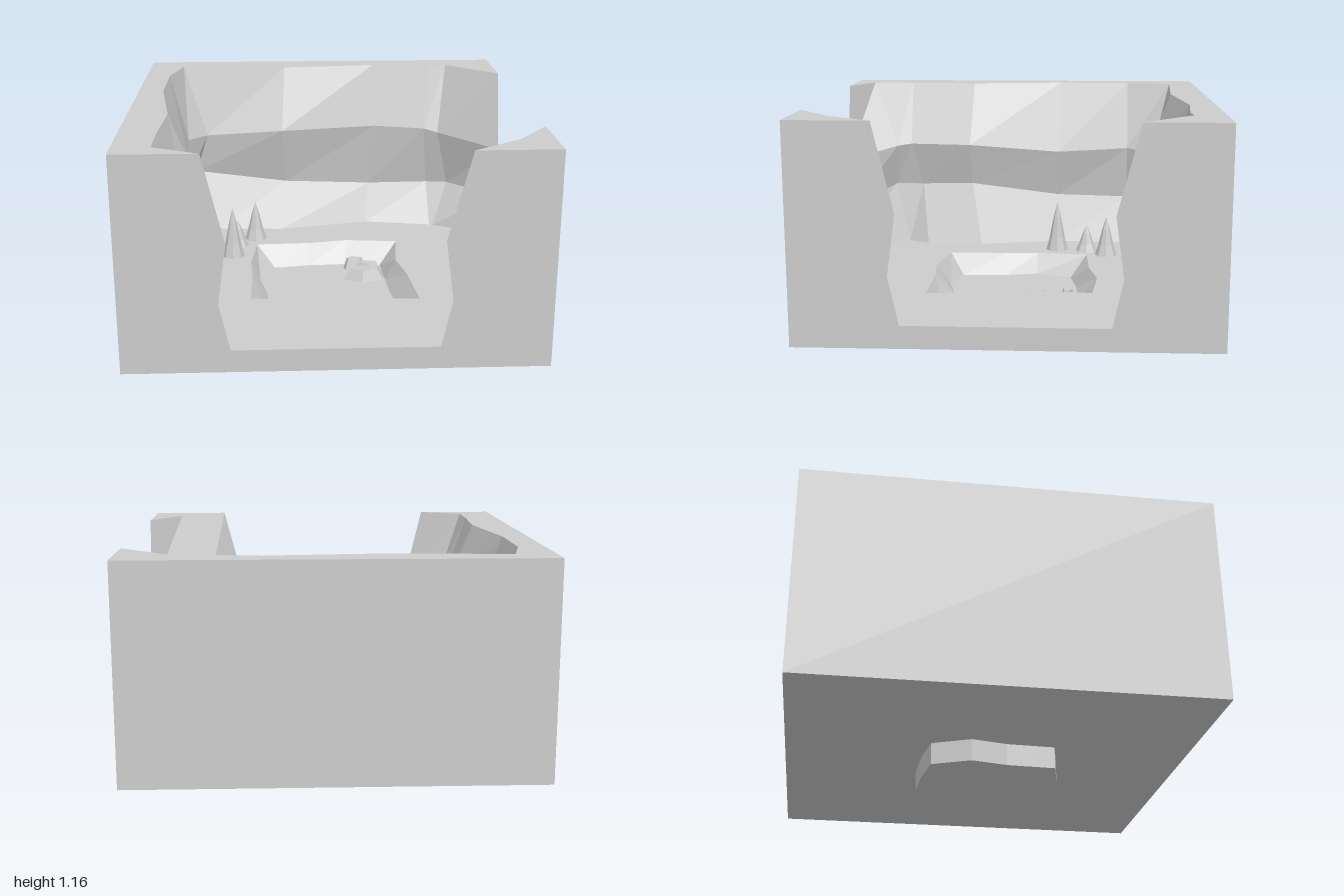
import * as THREE from 'three';

const stone = new THREE.MeshStandardMaterial({ color: 0xcccccc });
stone.name = 'paleStone';

const TOP = 1.16, FLOOR = 0.22, BASE = 0.11, PIT = 0.11;

// Cave wall columns, front left to back right: rim [x,z], bulge [x,z,y], hollow [x,z,y], foot [x,z]
const wallColumns = [
  [[-0.6, 1], [-0.5, 1, 0.74], [-0.54, 1, 0.45], [-0.49, 1]],
  [[-0.82, 0.89], [-0.68, 0.74, 0.8], [-0.76, 0.76, 0.56], [-0.7, 0.68]],
  [[-0.82, 0.66], [-0.7, 0.66, 0.81], [-0.76, 0.6, 0.56], [-0.64, 0.56]],
  [[-0.8, 0.29], [-0.66, 0.31, 0.81], [-0.73, 0.3, 0.57], [-0.63, 0.24]],
  [[-0.87, -0.22], [-0.75, -0.21, 0.76], [-0.82, -0.21, 0.49], [-0.73, -0.21]],
  [[-0.87, -0.62], [-0.78, -0.62, 0.78], [-0.82, -0.62, 0.48], [-0.72, -0.6]],
  [[-0.81, -0.86], [-0.68, -0.76, 0.77], [-0.75, -0.8, 0.54], [-0.62, -0.66]],
  [[-0.22, -0.82], [-0.24, -0.69, 0.81], [-0.22, -0.77, 0.48], [-0.25, -0.64]],
  [[0.3, -0.87], [0.31, -0.79, 0.81], [0.28, -0.84, 0.44], [0.26, -0.75]],
  [[0.63, -0.84], [0.6, -0.75, 0.8], [0.63, -0.82, 0.45], [0.64, -0.68]],
  [[0.73, -0.85], [0.68, -0.73, 0.78], [0.75, -0.77, 0.46], [0.66, -0.67]],
  [[1, -0.6], [1, -0.49, 0.74], [1, -0.53, 0.45], [1, -0.49]],
];
// Corner pillar columns, from the right opening to the front opening
const pillarColumns = [
  [[1, 0.6], [1, 0.5, 0.74], [1, 0.54, 0.45], [1, 0.49]],
  [[0.84, 0.82], [0.68, 0.73, 0.76], [0.74, 0.77, 0.47], [0.67, 0.73]],
  [[0.6, 1], [0.49, 1, 0.74], [0.53, 1, 0.45], [0.48, 1]],
];
const pitRim = [[-0.39, -0.38], [-0.09, -0.39], [0.12, -0.43], [0.41, -0.4], [0.38, -0.1], [0.42, 0.11],
  [0.45, 0.44], [0.1, 0.43], [-0.11, 0.45], [-0.41, 0.4], [-0.41, 0.08], [-0.42, -0.1]];
const pitBottom = [[-0.29, -0.29], [-0.1, -0.32], [0.11, -0.33], [0.31, -0.31], [0.32, -0.1], [0.33, 0.08],
  [0.36, 0.36], [0.08, 0.33], [-0.11, 0.37], [-0.32, 0.32], [-0.33, 0.08], [-0.37, -0.1]];
const rocks = [
  [[0.1, -0.28], [0.15, -0.31], [0.23, -0.28], [0.2, -0.24], [0.11, -0.24]],
  [[0.15, -0.2], [0.21, -0.24], [0.3, -0.23], [0.31, -0.18], [0.25, -0.16], [0.18, -0.18]],
  [[0.09, -0.11], [0.17, -0.17], [0.22, -0.14], [0.32, -0.16], [0.31, -0.09], [0.19, -0.04]],
];

const at = (points, y) => points.map(([x, z]) => [x, y, z]);

// Faceted surface between successive rows of points
function loft(rows, closed) {
  const out = [];
  for (let r = 0; r + 1 < rows.length; r++) {
    const n = rows[r].length;
    for (let i = 0; i < (closed ? n : n - 1); i++) {
      const j = (i + 1) % n;
      const a = rows[r][i], b = rows[r][j], c = rows[r + 1][i], d = rows[r + 1][j];
      out.push(...a, ...c, ...b, ...b, ...c, ...d);
    }
  }
  const g = new THREE.BufferGeometry();
  g.setAttribute('position', new THREE.Float32BufferAttribute(out, 3));
  g.computeVertexNormals();
  return g;
}

// Flat horizontal polygon with optional hole, facing up or down
function plate(points, y, hole, down = false) {
  const s = down ? 1 : -1;
  const v = (list) => list.map(([x, z]) => new THREE.Vector2(x, s * z));
  const shape = new THREE.Shape(v(points));
  if (hole) shape.holes.push(new THREE.Path(v(hole)));
  return new THREE.ShapeGeometry(shape).rotateX(s * Math.PI / 2).translate(0, y, 0);
}

// Four rows of a wall from its columns
function wallRows(columns) {
  return [0, 1, 2, 3].map((k) => columns.map((col) => {
    const [x, z, y] = col[k];
    return [x, k === 0 ? TOP : k === 3 ? FLOOR : y, z];
  }));
}

export function createModel() {
  const model = new THREE.Group();
  model.name = 'caveRoom';
  const add = (name, geometry, parent = model) => {
    const mesh = new THREE.Mesh(geometry, stone);
    mesh.name = name;
    parent.add(mesh);
    return mesh;
  };
  const ring = (columns, k) => columns.map((c) => c[k].slice(0, 2));
  const square = [[-1, -1], [1, -1], [1, 1], [-1, 1]];

  // Rough inner walls
  add('caveWall', loft(wallRows(wallColumns)));
  add('pillarWall', loft(wallRows(pillarColumns)));

  // Flat tops
  add('wallTop', plate([...ring(wallColumns, 0), [1, -1], [-1, -1], [-1, 1]], TOP));
  add('pillarTop', plate([...ring(pillarColumns, 0), [1, 1]], TOP));

  // Floor with sunken pit
  add('floor', plate([...ring(wallColumns, 3), ...ring(pillarColumns, 3)], FLOOR, pitRim));
  add('pitSides', loft([at(pitRim, FLOOR), at(pitBottom, PIT)], true));
  add('pitFloor', plate(pitBottom, PIT));

  // Outer faces with cave openings at the front and right
  const opening = new THREE.Shape([
    [-1, BASE], [1, BASE], [1, TOP], [0.6, TOP], [0.49, 0.74], [0.53, 0.45], [0.48, FLOOR],
    [-0.49, FLOOR], [-0.54, 0.45], [-0.5, 0.74], [-0.6, TOP], [-1, TOP],
  ].map(([x, y]) => new THREE.Vector2(x, y)));
  const openFace = () => new THREE.ShapeGeometry(opening).translate(0, 0, 1);
  const solidFace = () => new THREE.PlaneGeometry(2, TOP - BASE).translate(0, (TOP + BASE) / 2, 1);
  add('frontFace', openFace());
  add('rightFace', openFace().rotateY(Math.PI / 2));
  add('backFace', solidFace().rotateY(Math.PI));
  add('leftFace', solidFace().rotateY(-Math.PI / 2));

  // Underside with the pit's foot
  add('underside', plate(square, BASE, null, true));
  const foot = [...pitBottom].reverse();
  add('pitFootSides', loft([at(foot, BASE), at(foot, 0)], true));
  add('pitFootBottom', plate(pitBottom, 0, null, true));

  // Stalagmites: x, z, tip height
  for (const [x, z, tip] of [[-0.52, -0.21, 0.5], [-0.5, -0.38, 0.37], [-0.4, -0.49, 0.44]]) {
    const h = tip - FLOOR;
    const profile = [[0.062, 0], [0.043, 0.28], [0.022, 0.68], [0, 1]]
      .map(([r, t]) => new THREE.Vector2(r, t * h));
    const g = new THREE.LatheGeometry(profile, 8).toNonIndexed();
    g.computeVertexNormals();
    add('stalagmite', g).position.set(x, FLOOR, z);
  }

  // Low rocks lying in the pit
  for (const outline of rocks) {
    const rock = new THREE.Group();
    rock.name = 'pitRock';
    model.add(rock);
    const n = outline.length;
    const cx = outline.reduce((s, p) => s + p[0], 0) / n;
    const cz = outline.reduce((s, p) => s + p[1], 0) / n;
    const base = [...outline].reverse();
    const top = base.map(([x, z]) => [cx + (x - cx) * 0.65, cz + (z - cz) * 0.65 - 0.005]);
    add('rockSides', loft([at(top, PIT + 0.06), at(base, PIT)], true), rock);
    add('rockTop', plate(top, PIT + 0.06), rock);
  }
  return model;
}
